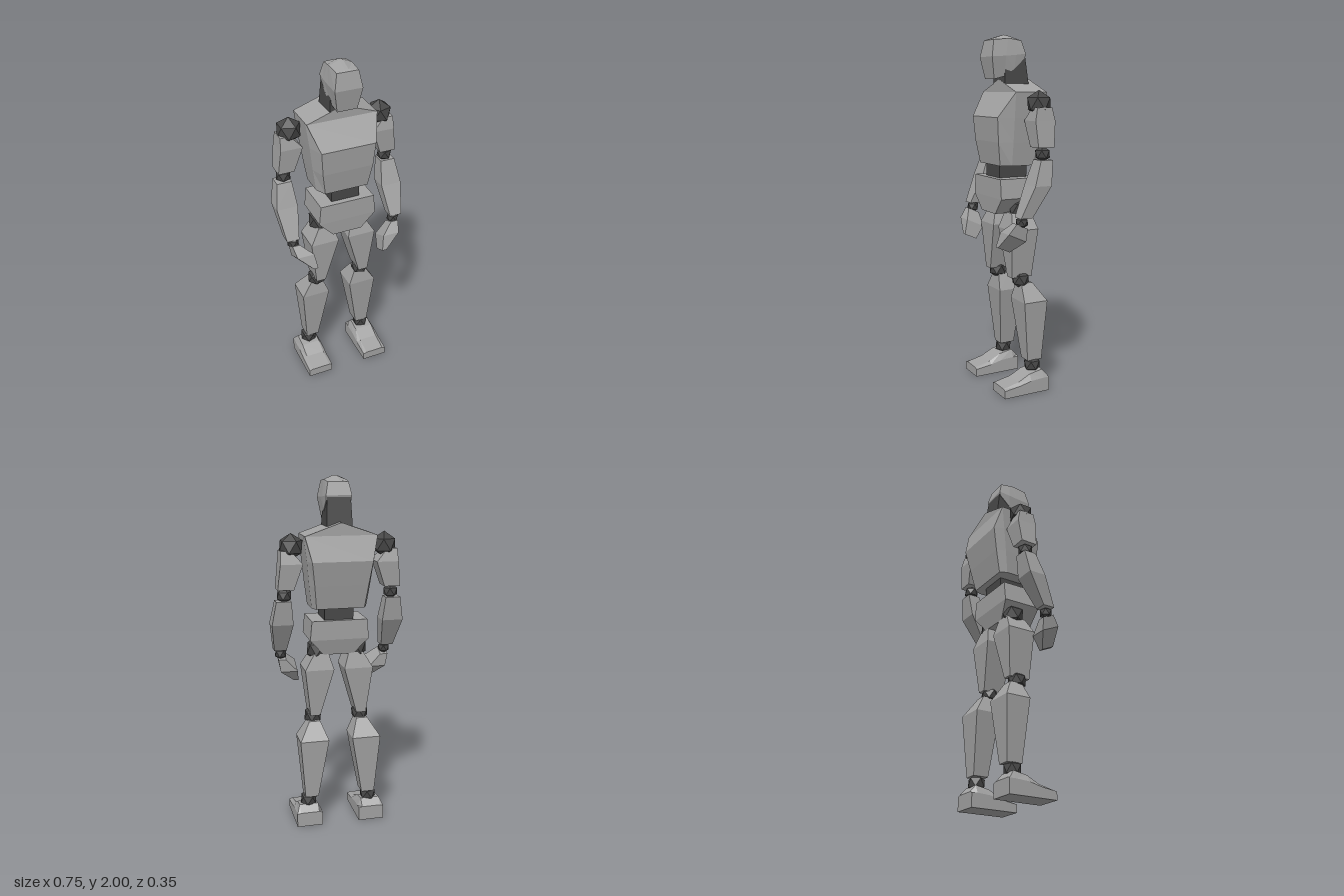
import * as THREE from 'three';

const plate = new THREE.MeshStandardMaterial({ color: 0xa2a2a2, flatShading: true });
const dark = new THREE.MeshStandardMaterial({ color: 0x474747, flatShading: true });

// Skins a list of equal-length point loops and caps both ends with strips.
function loft(name, loops, material = plate) {
  const tris = [];
  const quad = (a, b, c, d) => tris.push(a, b, c, a, c, d);
  const n = loops[0].length;
  for (let i = 0; i < loops.length - 1; i++) {
    for (let j = 0; j < n; j++) {
      const k = (j + 1) % n;
      quad(loops[i][j], loops[i][k], loops[i + 1][k], loops[i + 1][j]);
    }
  }
  const last = loops[loops.length - 1];
  for (let j = 0; j < n / 2 - 1; j++) {
    quad(loops[0][n - 1 - j], loops[0][n - 2 - j], loops[0][j + 1], loops[0][j]);
    quad(last[j], last[j + 1], last[n - 2 - j], last[n - 1 - j]);
  }
  // Turn every face outward, whichever way the loops run
  const v = tris.map((p) => new THREE.Vector3(...p));
  const centre = v.reduce((s, p) => s.add(p), new THREE.Vector3()).divideScalar(v.length);
  let volume = 0;
  for (let i = 0; i < v.length; i += 3) {
    const [a, b, c] = [0, 1, 2].map((k) => v[i + k].clone().sub(centre));
    volume += a.dot(b.cross(c));
  }
  if (volume < 0) v.reverse();
  const geometry = new THREE.BufferGeometry().setFromPoints(v);
  geometry.computeVertexNormals();
  const mesh = new THREE.Mesh(geometry, material);
  mesh.name = name;
  return mesh;
}

// Left-right symmetric loop from its half: points [x, y, z] front to back.
const mirrored = (half) => [...half, ...half.map(([x, y, z]) => [-x, y, z]).reverse()];

// Four-sided limb; sections are [x, y, z, halfWidth, halfDepth], tilt raises their fronts.
function limb(name, side, sections, tilt = 0) {
  return loft(name, sections.map(([x, y, z, w, d]) => [
    [w, d], [w, -d], [-w, -d], [-w, d],
  ].map(([px, pz]) => [side * (x + px), y + tilt * pz, z + pz])));
}

// Faceted ball with one corner pointing up
function joint(name, side, x, y, z, r) {
  const mesh = new THREE.Mesh(new THREE.IcosahedronGeometry(r, 0), dark);
  mesh.position.set(side * x, y, z);
  mesh.rotation.z = side * 0.5536;
  mesh.name = name;
  return mesh;
}

function arm(side) {
  const g = new THREE.Group();
  g.name = side > 0 ? 'leftArm' : 'rightArm';
  g.add(
    joint('shoulderJoint', side, 0.262, 1.63, -0.055, 0.072),
    limb('upperArm', side, [
      [0.297, 1.61, -0.055, 0.028, 0.045],
      [0.268, 1.54, -0.057, 0.062, 0.06],
      [0.3, 1.4, -0.055, 0.045, 0.048],
    ]),
    joint('elbowJoint', side, 0.303, 1.365, -0.055, 0.045),
    limb('forearm', side, [
      [0.31, 1.335, -0.055, 0.042, 0.036],
      [0.315, 1.2, -0.022, 0.06, 0.05],
      [0.315, 1.03, 0.065, 0.035, 0.035],
    ]),
    joint('wristJoint', side, 0.308, 1.005, 0.072, 0.037),
    limb('hand', side, [
      [0.303, 0.985, 0.078, 0.022, 0.033],
      [0.263, 0.92, 0.1, 0.049, 0.052],
      [0.213, 0.843, 0.138, 0.013, 0.036],
    ], 0.45),
  );
  return g;
}

function foot(side) {
  // Cross-sections from toe to heel: [z, edge height, top height]
  return loft('foot', [
    [0.148, 0.045, 0.052], [0.05, 0.058, 0.075], [-0.02, 0.075, 0.11],
    [-0.1, 0.08, 0.125], [-0.135, 0.08, 0.085],
  ].map(([z, edge, top]) => [
    [0.11, 0], [0.11, edge], [0.13, top], [0.24, top], [0.26, edge], [0.26, 0],
  ].map(([x, y]) => [side * x, y, z])));
}

function leg(side) {
  const g = new THREE.Group();
  g.name = side > 0 ? 'leftLeg' : 'rightLeg';
  g.add(
    joint('hipJoint', side, 0.11, 1.045, -0.02, 0.07),
    limb('thigh', side, [
      [0.1, 1.025, -0.015, 0.042, 0.06],
      [0.113, 0.935, -0.012, 0.083, 0.083],
      [0.135, 0.66, -0.008, 0.028, 0.062],
    ]),
    joint('kneeJoint', side, 0.14, 0.645, -0.012, 0.055),
    limb('shin', side, [
      [0.14, 0.625, -0.036, 0.032, 0.035],
      [0.152, 0.525, -0.062, 0.083, 0.073],
      [0.168, 0.175, -0.07, 0.038, 0.045],
    ]),
    joint('ankleJoint', side, 0.18, 0.145, -0.068, 0.052),
    foot(side),
  );
  return g;
}

export function createModel() {
  const model = new THREE.Group();
  model.name = 'mannequin';

  model.add(
    // Head with a low crown ridge
    loft('head', [
      [[0.01, 1.977, 0.1], [0.01, 2, 0.025], [0.01, 1.996, 0], [0.01, 1.975, -0.05]],
      [[0.06, 1.97, 0.112], [0.063, 1.978, 0.025], [0.062, 1.976, 0], [0.057, 1.968, -0.06]],
      [[0.077, 1.88, 0.13], [0.077, 1.885, 0.045], [0.077, 1.89, -0.015], [0.072, 1.898, -0.08]],
      [[0.056, 1.76, 0.108], [0.06, 1.775, 0.048], [0.07, 1.815, -0.01], [0.07, 1.875, -0.075]],
    ].map(mirrored)),

    loft('neck', [
      [[0.065, 1.83, 0.045], [0.065, 1.895, -0.077]],
      [[0.072, 1.72, 0.05], [0.072, 1.72, -0.1]],
    ].map(mirrored), dark),

    // Chest slopes from a central ridge to the shoulders and narrows to the waist
    loft('torso', [
      [[0.004, 1.758, 0.05], [0.004, 1.758, 0.02], [0.004, 1.758, -0.1], [0.004, 1.758, -0.14]],
      [[0.2, 1.69, 0.05], [0.2, 1.69, 0.03], [0.2, 1.69, -0.1], [0.2, 1.69, -0.14]],
      [[0.155, 1.555, 0.138], [0.187, 1.555, 0.05], [0.187, 1.555, -0.12], [0.168, 1.555, -0.178]],
      [[0.145, 1.42, 0.128], [0.172, 1.42, 0.05], [0.172, 1.42, -0.1], [0.15, 1.42, -0.15]],
      [[0.125, 1.29, 0.108], [0.155, 1.29, 0.05], [0.155, 1.29, -0.08], [0.135, 1.29, -0.12]],
    ].map(mirrored)),

    loft('waist', [1.31, 1.2].map((y) => mirrored([[0.082, y, 0.09], [0.082, y, -0.08]])), dark),

    loft('pelvis', [
      [[0.158, 1.22, 0.123], [0.158, 1.22, -0.103]],
      [[0.168, 1.11, 0.123], [0.168, 1.11, -0.1]],
      [[0.085, 1.02, 0.118], [0.085, 1.02, -0.075]],
    ].map(mirrored)),
  );

  for (const side of [1, -1]) model.add(arm(side), leg(side));
  return model;
}
